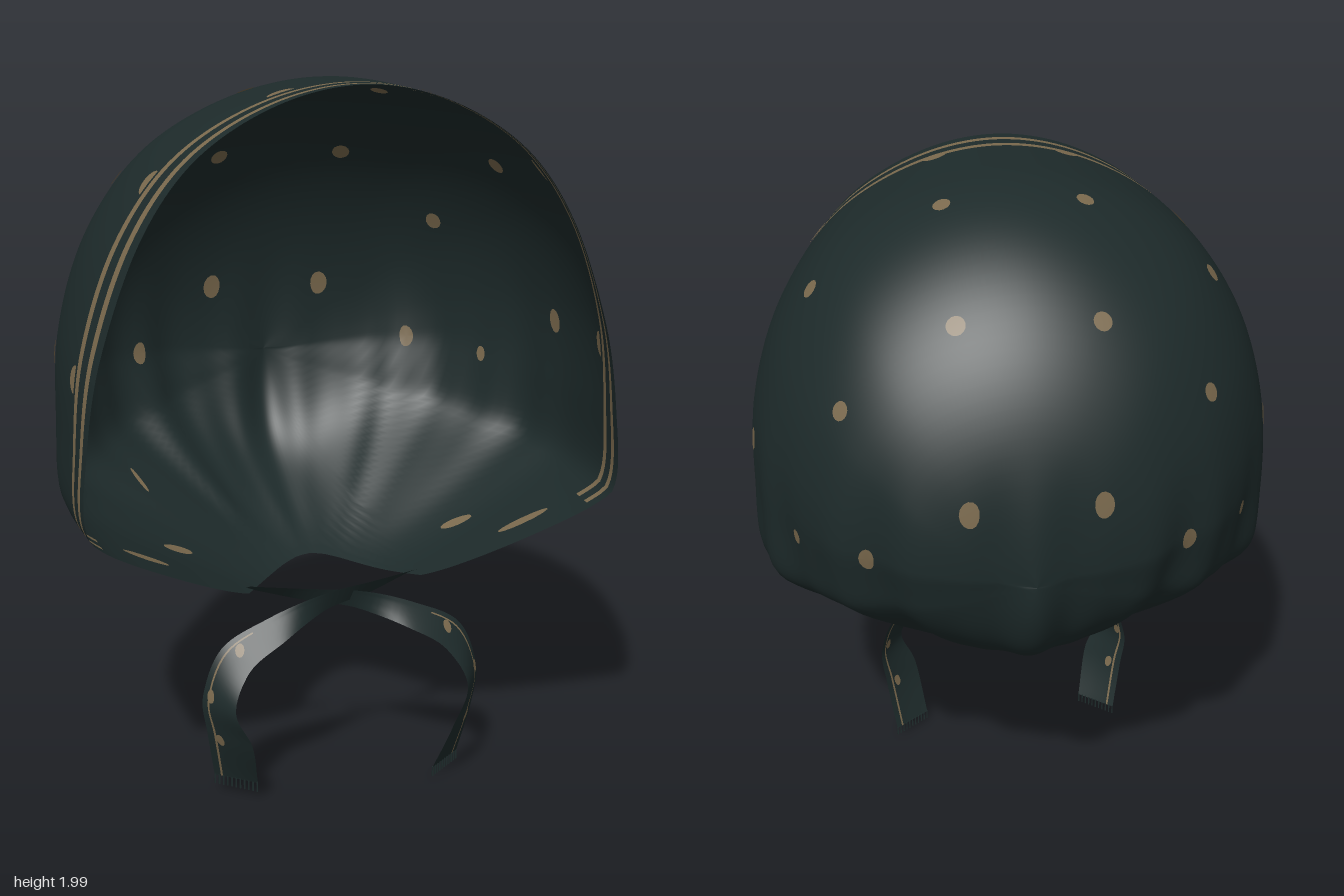
import * as THREE from 'three';

const V = (x, y, z) => new THREE.Vector3(x, y, z);
const { smoothstep, clamp } = THREE.MathUtils;
const fabric = new THREE.MeshStandardMaterial({ color: 0x1d2a2a, side: THREE.DoubleSide });
fabric.name = 'dark teal fabric';
const trim = new THREE.MeshStandardMaterial({ color: 0x7a694d, side: THREE.DoubleSide });
trim.name = 'tan trim';

// Surface patch from point(i, j); cells chosen by isTrim go to the tan material
function grid(nu, nv, wrap, point, isTrim) {
  const cols = wrap ? nu : nu + 1, pos = [], plain = [], tan = [];
  for (let j = 0; j <= nv; j++)
    for (let i = 0; i < cols; i++) pos.push(...point(i, j).toArray());
  for (let j = 0; j < nv; j++)
    for (let i = 0; i < nu; i++) {
      const a = j * cols + i, b = j * cols + (i + 1) % cols;
      (isTrim(i, j) ? tan : plain).push(a, b, a + cols, b, b + cols, a + cols);
    }
  const g = new THREE.BufferGeometry();
  g.setAttribute('position', new THREE.Float32BufferAttribute(pos, 3));
  g.setIndex([...plain, ...tan]);
  g.addGroup(0, plain.length, 0);
  g.addGroup(plain.length, tan.length, 1);
  g.computeVertexNormals();
  return new THREE.Mesh(g, [fabric, trim]);
}

// Thin oval on both faces of a surface f(a, b); rv is measured along "up", sweep PI gives a half oval
function dot(f, [a, b], rh, rv, up = V(0, 1, -0.2), sweep = Math.PI * 2) {
  const e = 0.004, p = f(a, b);
  const da = f(a + e, b).sub(f(a - e, b)).divideScalar(2 * e);
  const db = f(a, b + e).sub(f(a, b - e)).divideScalar(2 * e);
  const n = da.clone().cross(db).normalize();
  const h = up.clone().cross(n).normalize(), v = n.clone().cross(h);
  const aa = da.dot(da), ab = da.dot(db), bb = db.dot(db), det = aa * bb - ab * ab;
  const pos = [], idx = [], N = 14;
  for (const side of [-0.004, 0.004]) {
    const o = pos.length / 3;
    pos.push(...p.clone().addScaledVector(n, side).toArray());
    for (let k = 0; k <= N; k++) {
      const q = k / N * sweep;
      const w = h.clone().multiplyScalar(Math.cos(q) * rh).addScaledVector(v, Math.sin(q) * rv);
      const wa = w.dot(da), wb = w.dot(db);
      const r = f(a + (wa * bb - wb * ab) / det, b + (wb * aa - wa * ab) / det);
      pos.push(...r.addScaledVector(n, side).toArray());
      const c = o + 1 + k;
      if (k < N) idx.push(...(side > 0 ? [o, c, c + 1] : [o, c + 1, c]));
    }
  }
  const g = new THREE.BufferGeometry();
  g.setAttribute('position', new THREE.Float32BufferAttribute(pos, 3));
  g.setIndex(idx);
  g.computeVertexNormals();
  const m = new THREE.Mesh(g, trim);
  m.name = 'dot';
  return m;
}

// Hood outline seen from the front, starting at the bottom centre
const half = [[0.13, 0.555], [0.25, 0.592], [0.5, 0.715], [0.7, 0.835], [0.748, 0.89], [0.755, 1.1],
  [0.737, 1.35], [0.65, 1.61], [0.49, 1.82], [0.25, 1.955]];
const outline = new THREE.CatmullRomCurve3([
  V(0, 0.547, 0), ...half.map(([x, y]) => V(x, y, 0)), V(0, 2, 0),
  ...half.slice().reverse().map(([x, y]) => V(-x, y, 0))], true, 'centripetal');
outline.arcLengthDivisions = 600;

const Z0 = 0.2, DEPTH = 0.72, END = DEPTH * Math.PI / 2, MID = 1.1;

// t runs round the outline, u runs from the face opening to the centre back
function hood(t, u) {
  const p = outline.getPointAt(((t % 1) + 1) % 1), high = smoothstep(p.y, 0.9, 1.6);
  let gx = 1, gy = 1, z = Z0 - u;
  if (u > 0) {
    const phi = Math.min(u / DEPTH, Math.PI / 2), c = Math.cos(phi);
    // the underside narrows toward the neck in a straighter cone, the crown is fuller
    const cone = 0.075 * (1 - smoothstep(p.y, 0.6, 0.95)) * Math.max(0, Math.sin(2.6 * phi)) ** 2;
    const low = 1 - smoothstep(p.y, 0.75, 1.2);
    gx = c ** ((p.x > 0 ? 0.85 : 0.95) - 0.1 * high + 0.35 * low) - cone;
    gy = c ** (1 - 0.12 * high) - cone;
    z = Z0 - DEPTH * Math.sin(phi);
  } else {
    const k = Math.min(1, -u / 0.31);
    p.x *= 1 - k * k * (0.025 + 0.07 * high);
  }
  const x = p.x * gx, y = MID + (p.y - MID) * gy;
  // soft upright gathers fanning out from the neck
  const az = Math.atan2(x, 0.1 - z);
  const w = (1 - smoothstep(y, 0.85, 1.5)) * smoothstep(u, 0.05, 0.45);
  const s = 1 + 0.022 * w * (Math.cos(14 * az) + 0.5 * Math.cos(23 * az) - 0.4);
  return V(x * s, y, 0.1 + (z - 0.1) * s);
}

// Where the cloth starts: face edge, then sloping back to the neck hole
function rimU(t) {
  const p = outline.getPointAt(t), x = Math.abs(p.x);
  let z = 0.515;
  if (p.y < 0.88) z = 0.27 + 0.245 * Math.pow(Math.max(0, (p.y - 0.592) / 0.288), 0.75);
  if (p.y < 1 && x < 0.25) z = 0.27 * (x / 0.25) ** 2;
  return z > Z0 ? Z0 - z : DEPTH * Math.asin((Z0 - z) / DEPTH);
}

// Nearest surface coordinates to a point
function locate(target) {
  let best = Infinity, at = [0, 0];
  for (let i = 0; i < 240; i++)
    for (let j = 0; j <= 70; j++) {
      const u = -0.3 + (END + 0.28) * j / 70;
      const d = hood(i / 240, u).distanceToSquared(target);
      if (d < best) { best = d; at = [i / 240, u]; }
    }
  return at;
}

// Ribbon stations for one tie: centre, then half-width vector
const stations = [
  [[-0.25, 0.598, 0.24], [0, 0.014, 0.03]],
  [[-0.1, 0.58, 0.29], [0, 0.022, 0.015]],
  [[0.05, 0.56, 0.32], [0.005, 0.028, 0.01]],
  [[0.2, 0.51, 0.36], [0.015, 0.028, -0.025]],
  [[0.32, 0.44, 0.375], [0.03, 0.026, -0.035]],
  [[0.372, 0.32, 0.4], [0.034, 0.006, -0.055]],
  [[0.345, 0.2, 0.4], [0.05, 0, -0.06]],
  [[0.315, 0.035, 0.345], [0.053, 0, -0.042]]];
const tieCentre = new THREE.CatmullRomCurve3(stations.map(s => V(...s[0])));
const tieWidth = new THREE.CatmullRomCurve3(stations.map(s => V(...s[1])));

function makeTie(side) {
  const group = new THREE.Group();
  const f = (a, b) => {
    const t = clamp(a, 0, 1);
    const p = tieCentre.getPoint(t).addScaledVector(tieWidth.getPoint(t), b);
    // one tie passes over the other and hangs slightly higher
    if (side < 0) {
      const over = Math.exp(-(((t - 0.25) / 0.15) ** 2));
      p.z += 0.022 * over;
      p.y += 0.012 * over + 0.03 * smoothstep(t, 0.6, 1);
    }
    p.x *= side;
    return p;
  };
  const across = [-1, -0.5, 0, 0.45, 0.6, 0.7, 1];
  const ribbon = grid(6, 56, false, (i, j) => f(j / 56, across[i]), (i, j) => i === 4 && j > 26);
  ribbon.name = 'tieRibbon';
  group.add(ribbon);
  for (const at of [[0.54, 0.2], [0.7, 0.5], [0.87, 0.4]]) group.add(dot(f, at, 0.013, 0.02));
  // frayed end
  for (let k = 0; k < 11; k++) {
    const strand = new THREE.Mesh(new THREE.BoxGeometry(0.004, 0.03, 0.004), fabric);
    strand.position.copy(f(1, -0.97 + k * 0.194));
    strand.position.y -= 0.012;
    strand.name = 'fringe';
    group.add(strand);
  }
  group.name = side > 0 ? 'leftTie' : 'rightTie';
  return group;
}

export function createModel() {
  const model = new THREE.Group();
  model.name = 'tiedHood';

  // Hood cloth with two border stripes along the face opening
  const NU = 200, NV = 44, border = [0, 0.034, 0.056, 0.092, 0.115];
  const rims = Array.from({ length: NU }, (_, i) => rimU(i / NU));
  const cloth = grid(NU, NV, true, (i, j) => {
    const start = rims[i], last = start + border[4];
    return hood(i / NU, j < 5 ? start + border[j] : last + (END - last) * (j - 4) / (NV - 4));
  }, (i, j) => (j === 1 || j === 3) && outline.getPointAt((i + 0.5) / NU).y > 0.83);
  cloth.name = 'hoodCloth';
  model.add(cloth);

  const spots = new THREE.Group();
  spots.name = 'hoodDots';
  const at = (x, y, z) => locate(V(x, y, z));
  for (const s of [1, -1]) {
    // dots over the cloth: position, then horizontal and upright radii
    for (const [x, y, z, rh, rv] of [
      [0.19, 1.97, 0.03, 0.025, 0.025], [0.56, 1.74, 0.03, 0.027, 0.027], [0.75, 1.27, 0.07, 0.025, 0.036],
      [0.19, 1.76, -0.315, 0.026, 0.027], [0.5, 1.53, -0.3, 0.024, 0.027], [0.18, 1.32, -0.49, 0.027, 0.038],
      [0.44, 1.14, -0.39, 0.022, 0.034], [0.63, 1.12, -0.22, 0.016, 0.024]])
      spots.add(dot(hood, at(x * s, y, z), rh, rv));
    // half dots against the inner stripe
    for (const [x, y] of [[0.19, 1.97], [0.52, 1.75], [0.73, 1.28]])
      spots.add(dot(hood, at(x * s, y, 0.395), 0.037, 0.034, V(0, 0, -1), Math.PI));
    // drawn-out dots on the underside
    for (const [x, y, z, rv] of [[0.55, 0.75, 0.31, 0.08], [0.43, 0.68, 0.12, 0.05]])
      spots.add(dot(hood, at(x * s, y, z), 0.018, rv, V(0.5 * s, 0.3, 0.18)));
  }
  // dot caught in a gather
  spots.add(dot(hood, at(-0.52, 0.77, -0.15), 0.008, 0.05));
  model.add(spots);

  model.add(makeTie(1), makeTie(-1));
  return model;
}
